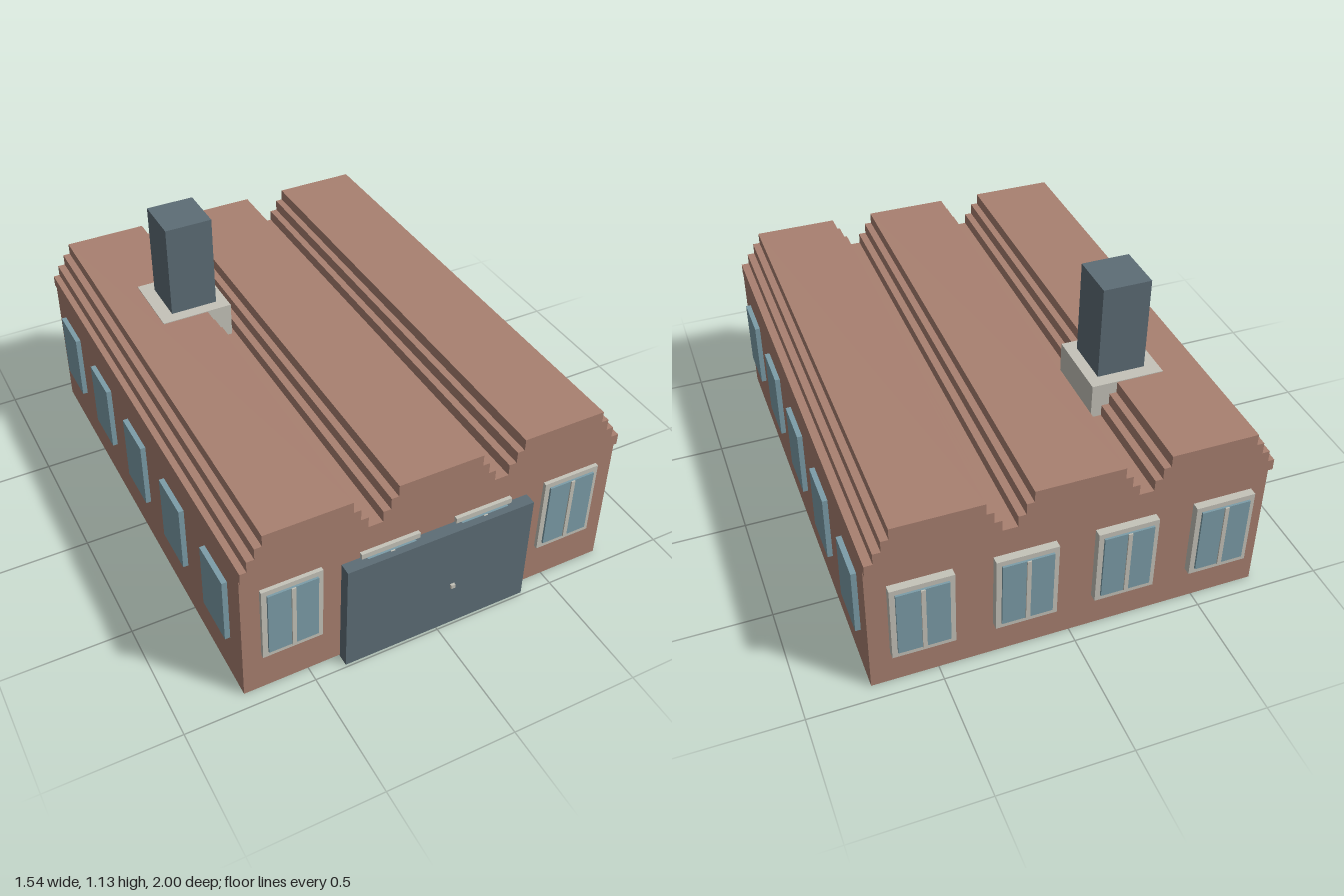
import * as THREE from 'three';

const material = (name, color) => {
  const m = new THREE.MeshStandardMaterial({ color });
  m.name = name;
  return m;
};

export function createModel() {
  const building = new THREE.Group();
  building.name = 'factoryBuilding';
  const brick = material('brick', 0xa98070);
  const slate = material('slate', 0x5d6d76);
  const glass = material('glass', 0x7c9da8);
  const cream = material('cream', 0xc5c3b9);

  // Box given by its lower and upper bounds on each axis
  function box(name, mat, [x0, x1], [y0, y1], [z0, z1], parent = building) {
    const mesh = new THREE.Mesh(new THREE.BoxGeometry(x1 - x0, y1 - y0, z1 - z0), mat);
    mesh.position.set((x0 + x1) / 2, (y0 + y1) / 2, (z0 + z1) / 2);
    mesh.name = name;
    parent.add(mesh);
    return mesh;
  }

  // Walls
  box('walls', brick, [-0.75, 0.75], [0, 0.568], [-0.94, 0.94]);

  // Roof: three stepped ridges, extruded from front to back
  const levels = [0.613, 0.658, 0.704, 0.75];
  const profile = new THREE.Shape();
  profile.moveTo(0.75, 0.568);
  profile.lineTo(0.75, levels[0]);
  for (const cx of [0.497, -0.003, -0.503]) {
    const halfWidths = [0.222, 0.193, 0.165];
    halfWidths.forEach((w, i) => {
      profile.lineTo(cx + w, levels[i]);
      profile.lineTo(cx + w, levels[i + 1]);
    });
    [...halfWidths].reverse().forEach((w, i) => {
      profile.lineTo(cx - w, levels[3 - i]);
      profile.lineTo(cx - w, levels[2 - i]);
    });
  }
  profile.lineTo(-0.75, levels[0]);
  profile.lineTo(-0.75, 0.568);
  const roofGeometry = new THREE.ExtrudeGeometry(profile, { depth: 1.917, bevelEnabled: false });
  const roof = new THREE.Mesh(roofGeometry, brick);
  roof.position.z = -0.964;
  roof.name = 'steppedRoof';
  building.add(roof);

  // Chimney on its base
  box('chimneyBase', cream, [-0.522, -0.24], [0.6, 0.753], [-0.527, -0.243]);
  box('chimney', slate, [-0.469, -0.283], [0.753, 1.128], [-0.477, -0.289]);

  // Framed windows, four at each end
  function framedWindow(name, x, z, turn) {
    const group = new THREE.Group();
    group.name = name;
    group.position.set(x, 0, z);
    group.rotation.y = turn;
    box('windowFrame', cream, [-0.115, 0.115], [0.169, 0.492], [-0.03, 0], group);
    box('windowPane', glass, [-0.095, 0.095], [0.194, 0.471], [0, 0.008], group);
    box('windowMullion', cream, [-0.008, 0.008], [0.194, 0.471], [0.008, 0.013], group);
    building.add(group);
  }
  for (const x of [-0.564, -0.188, 0.188, 0.564]) {
    framedWindow('frontWindow', x, 0.955, 0);
    framedWindow('backWindow', x, -0.987, Math.PI);
  }

  // Plain panes along both sides
  for (let i = 0; i < 5; i++) {
    const z = -0.755 + i * 0.3755;
    box('leftWindow', glass, [0.745, 0.77], [0.194, 0.472], [z - 0.094, z + 0.094]);
    box('rightWindow', glass, [-0.77, -0.745], [0.194, 0.472], [z - 0.094, z + 0.094]);
  }

  // Wide front gate and its handle
  box('gate', slate, [-0.375, 0.375], [0, 0.47], [0.944, 0.99]);
  box('gateHandle', cream, [0.045, 0.062], [0.193, 0.21], [0.99, 1]);

  return building;
}
